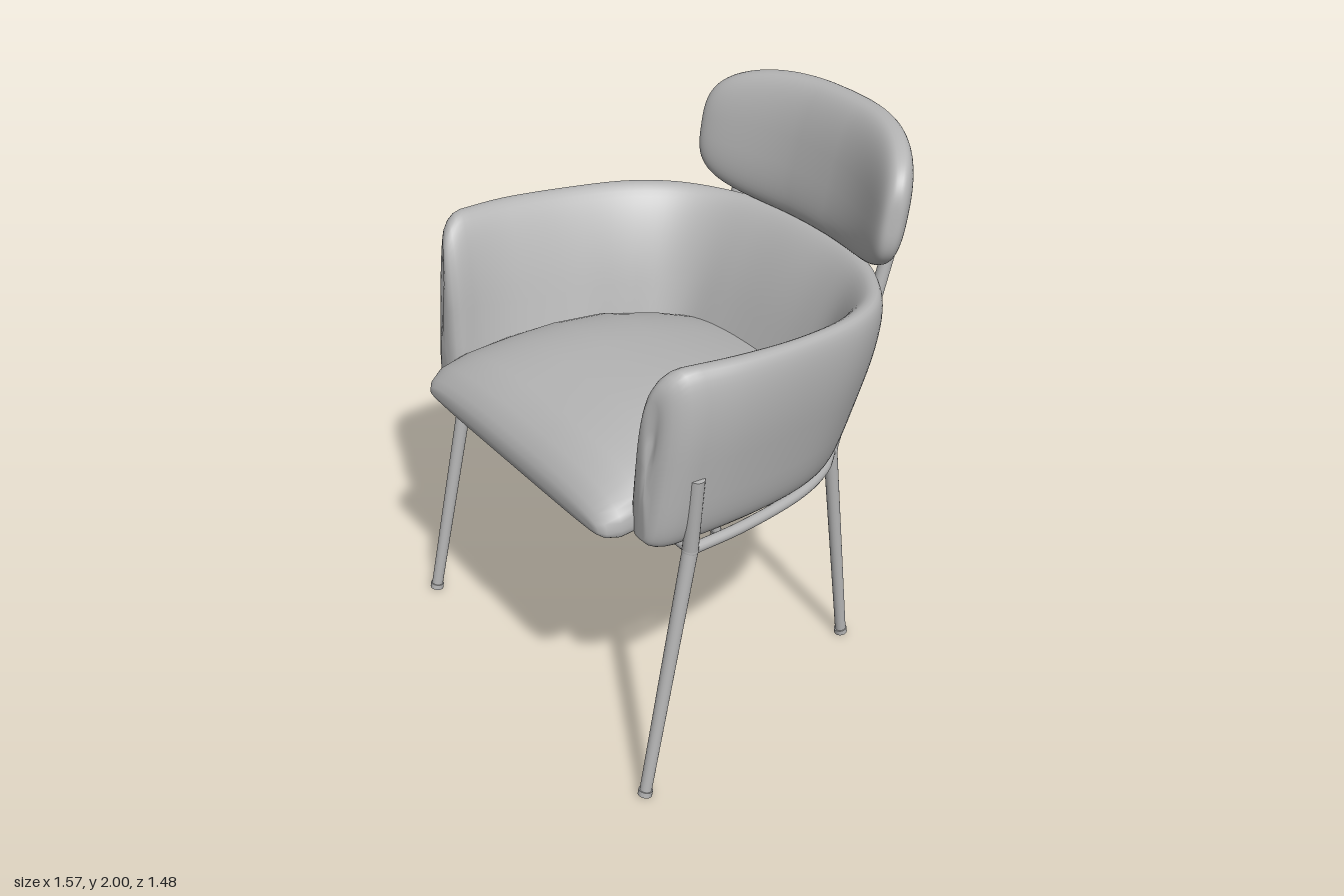
import * as THREE from 'three';

const RING = 48;

// Rounded-square loop in [-1, 1], with separate roundness for upper and lower halves
function roundedLoop(nTop, nBottom) {
  const pow = (t, n) => Math.sign(t) * Math.abs(t) ** (2 / n);
  return Array.from({ length: RING }, (_, i) => {
    const a = (i / RING) * Math.PI * 2;
    const n = Math.sin(a) > 0 ? nTop : nBottom;
    return [pow(Math.cos(a), n), pow(Math.sin(a), n)];
  });
}

// Skin a list of closed rings, closing both ends at their centres
function loft(rings) {
  const pos = [], idx = [];
  rings.forEach(r => r.forEach(p => pos.push(p.x, p.y, p.z)));
  const quad = (a, b, c, d) => idx.push(a, b, c, b, d, c);
  for (let j = 0; j < rings.length - 1; j++) {
    for (let i = 0; i < RING; i++) {
      const k = (i + 1) % RING;
      quad(j * RING + i, j * RING + k, (j + 1) * RING + i, (j + 1) * RING + k);
    }
  }
  [0, rings.length - 1].forEach((j, end) => {
    const c = centre(rings[j]);
    const n = pos.push(c.x, c.y, c.z) / 3 - 1;
    for (let i = 0; i < RING; i++) {
      const a = j * RING + i, b = j * RING + (i + 1) % RING;
      if (end) idx.push(a, b, n); else idx.push(b, a, n);
    }
  });
  // Turn the faces outward if the enclosed volume is negative
  const v = i => new THREE.Vector3().fromArray(pos, idx[i] * 3);
  let volume = 0;
  for (let i = 0; i < idx.length; i += 3) volume += v(i).dot(v(i + 1).cross(v(i + 2)));
  if (volume < 0) idx.reverse();
  const g = new THREE.BufferGeometry();
  g.setAttribute('position', new THREE.Float32BufferAttribute(pos, 3));
  g.setIndex(idx);
  g.computeVertexNormals();
  return g;
}

function centre(ring) {
  return ring.reduce((s, p) => s.add(p), new THREE.Vector3()).divideScalar(ring.length);
}

// Wraparound back and arms: outer bottom, outer top, inner top, inner bottom as x, z; then y range
function shellGeometry() {
  const half = [
    [0, -.41, 0, -.655, 0, -.47, 0, -.19, .865, 1.525],
    [.22, -.39, .25, -.625, .21, -.46, .22, -.18, .865, 1.525],
    [.41, -.335, .47, -.535, .38, -.41, .36, -.16, .865, 1.525],
    [.54, -.23, .64, -.41, .51, -.31, .412, -.09, .875, 1.53],
    [.63, -.08, .735, -.25, .595, -.16, .42, 0, .89, 1.54],
    [.69, .12, .79, .02, .64, .05, .42, .14, .905, 1.555],
    [.725, .35, .815, .30, .64, .30, .46, .35, .925, 1.575],
    [.73, .54, .80, .46, .615, .51, .54, .54, .94, 1.585],
  ];
  const all = [
    ...half.slice(1).reverse().map(s => s.map((v, i) => (i < 8 && i % 2 === 0 ? -v : v))),
    ...half,
  ];
  const corner = (k, y) => new THREE.CatmullRomCurve3(
    all.map(s => new THREE.Vector3(s[k], s[y], s[k + 1])));
  const [ob, ot, it, ib] = [corner(0, 8), corner(2, 9), corner(4, 9), corner(6, 8)];
  const loop = roundedLoop(2.3, 5);
  const rings = [];
  for (let j = 0; j <= 84; j++) {
    const [a, b, c, d] = [ob, ot, it, ib].map(curve => curve.getPoint(j / 84));
    rings.push(loop.map(([u, v]) => {
      const low = d.clone().lerp(a, (u + 1) / 2), high = c.clone().lerp(b, (u + 1) / 2);
      return low.lerp(high, (v + 1) / 2);
    }));
  }
  // Rounded arm fronts, leaning inward and more rounded at the top
  const tip = ring => {
    const c = centre(ring);
    return [.2, .4, .6, .75, .87, .95, .99].map(t => {
      const a = t * Math.PI / 2, k = Math.cos(a) ** .6;
      const close = t > .9 ? k ** .3 : 1;
      return ring.map(p => new THREE.Vector3(
        c.x + (p.x - c.x) * k - Math.sign(c.x) * .015 * Math.sin(a),
        c.y + (p.y - c.y) * (p.y > c.y ? .5 + .5 * k : .8 + .2 * k) * close,
        c.z + (p.z - c.z) * (.5 + .5 * k) + .095 * Math.sin(a)));
    });
  };
  return loft([...tip(rings[0]).reverse(), ...rings, ...tip(rings[rings.length - 1])]);
}

// Crowned cushion, falling towards the back: z, half width, top y, bottom y
function cushionGeometry() {
  const stations = [
    [.737, .53, 1.02, .985], [.732, .56, 1.045, .97], [.715, .585, 1.075, .957],
    [.67, .605, 1.125, .945], [.58, .60, 1.17, .94], [.42, .58, 1.207, .93],
    [.25, .565, 1.22, .925], [.05, .545, 1.205, .92], [-.15, .50, 1.155, .91],
    [-.28, .46, 1.11, .905], [-.36, .40, 1.08, .90],
  ];
  const loop = roundedLoop(2.8, 4);
  return loft(stations.map(([z, w, top, bottom]) => {
    const mid = bottom + (top - bottom) * .3;
    return loop.map(([u, v]) =>
      new THREE.Vector3(u * w, mid + v * (v > 0 ? top - mid : mid - bottom), z));
  }));
}

// Curved, backward-leaning pad
function headrestGeometry() {
  const loop = roundedLoop(2.6, 2.6), rings = [];
  for (let j = 1; j < 60; j++) {
    const a = (j / 60 - .5) * Math.PI;
    const u = Math.sign(a) * Math.abs(Math.sin(a)) ** .57, size = Math.cos(a) ** .57;
    const slope = Math.sign(u) * .74 * Math.abs(u) ** 1.3, len = Math.hypot(1, slope);
    rings.push(loop.map(([p, q]) => {
      const t = p * .08 * size, y = q * .243 * size;
      return new THREE.Vector3(
        .545 * u - slope * t / len,
        1.757 + y,
        -.635 + .175 * Math.abs(u) ** 2.3 + t / len - (.25 - .08 * Math.abs(u) ** 2) * y);
    }));
  }
  return loft(rings);
}

export function createModel() {
  const model = new THREE.Group();
  model.name = 'armchair';
  const grey = new THREE.MeshStandardMaterial({ color: 0xb4b4b4 });
  grey.name = 'plain grey';

  const add = (name, geometry) => {
    const mesh = new THREE.Mesh(geometry, grey);
    mesh.name = name;
    model.add(mesh);
    return mesh;
  };
  // Round bar from a to b
  const bar = (name, a, b, ra, rb = ra) => {
    const p = new THREE.Vector3(...a), q = new THREE.Vector3(...b);
    const dir = q.clone().sub(p);
    const mesh = add(name, new THREE.CylinderGeometry(rb, ra, dir.length(), 20));
    mesh.position.copy(p).lerp(q, .5);
    mesh.quaternion.setFromUnitVectors(new THREE.Vector3(0, 1, 0), dir.normalize());
  };
  const joint = (name, p, r) => add(name, new THREE.SphereGeometry(r, 20, 14)).position.set(...p);

  // Upholstery
  add('backAndArms', shellGeometry());
  add('seatCushion', cushionGeometry());
  add('headrest', headrestGeometry());

  // Underside panel, sloping down to the rear
  const outline = new THREE.Shape();
  outline.moveTo(-.60, -.46);
  outline.lineTo(.60, -.46);
  outline.quadraticCurveTo(.64, -.1, .52, .12);
  outline.quadraticCurveTo(.44, .30, .28, .31);
  outline.lineTo(-.28, .31);
  outline.quadraticCurveTo(-.44, .30, -.52, .12);
  outline.quadraticCurveTo(-.64, -.1, -.60, -.46);
  const panel = add('undersidePanel',
    new THREE.ExtrudeGeometry(outline, { depth: .03, bevelEnabled: false, curveSegments: 12 }));
  panel.rotation.x = -Math.PI / 2 - .085;
  panel.position.y = .885;

  // Legs, uprights and side rails, mirrored
  for (const [side, s] of [['left', 1], ['right', -1]]) {
    const front = [s * .72, .92, .485], rear = [s * .41, .85, -.345];
    bar(side + 'FrontLeg', [s * .735, .015, .68], front, .021, .027);
    bar(side + 'FrontFoot', [s * .735, 0, .683], [s * .735, .02, .679], .025);
    bar(side + 'ArmSupport', front, [s * .75, 1.205, .48], .027);
    joint(side + 'FrontJoint', front, .028);
    bar(side + 'RearLeg', [s * .405, .015, -.438], rear, .02, .025);
    bar(side + 'RearFoot', [s * .405, 0, -.44], [s * .405, .02, -.437], .024);
    bar(side + 'BackUpright', rear, [s * .425, 1.72, -.597], .024);
    joint(side + 'RearJoint', rear, .027);
    const rail = new THREE.CatmullRomCurve3([
      front, [s * .69, .905, .25], [s * .605, .88, -.06], [s * .51, .862, -.235], rear,
    ].map(p => new THREE.Vector3(...p)));
    add(side + 'Rail', new THREE.TubeGeometry(rail, 32, .02, 14));
  }
  bar('frontRail', [-.72, .925, .485], [.72, .925, .485], .021);
  bar('rearRail', [-.41, .848, -.345], [.41, .848, -.345], .02);
  return model;
}
